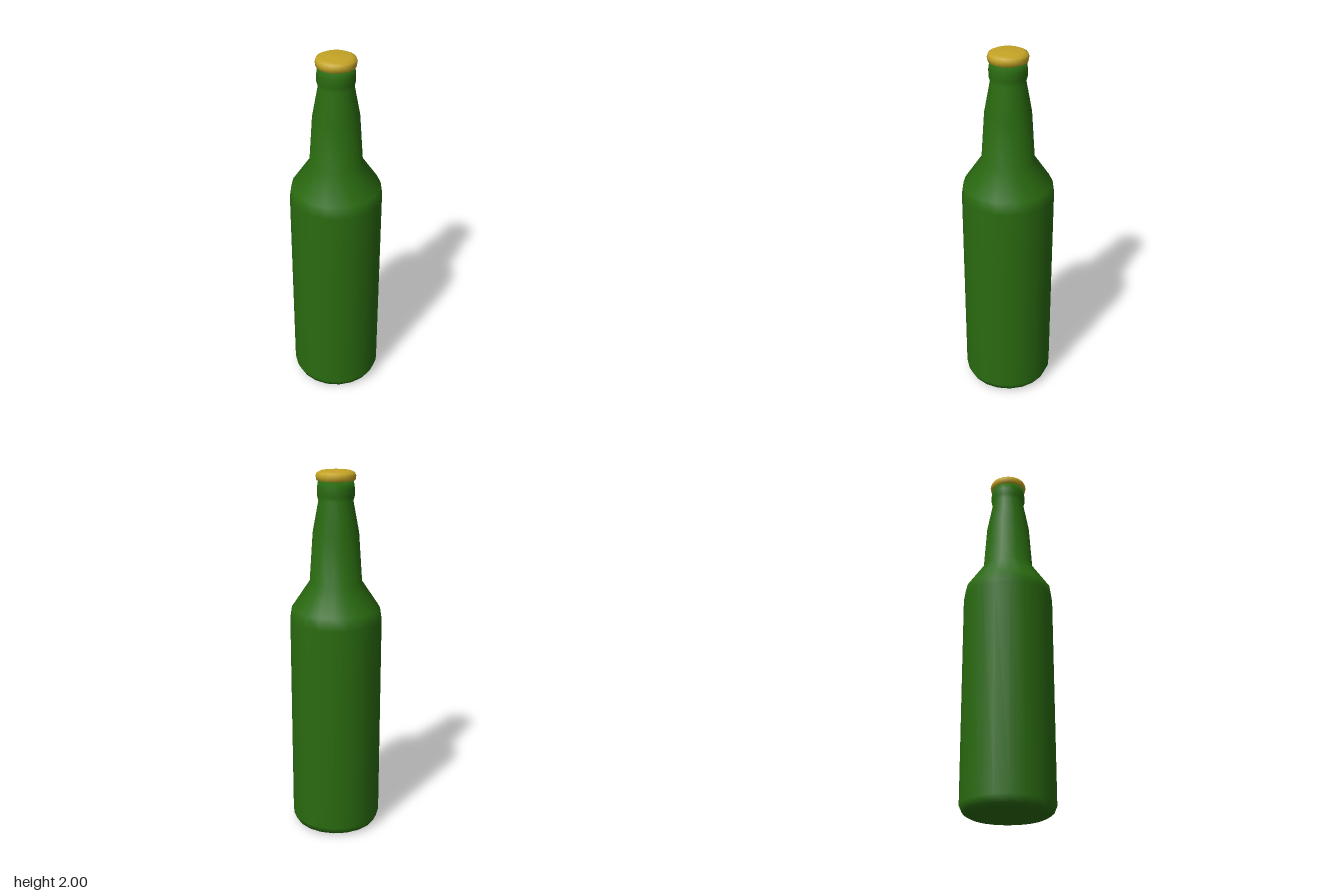
import * as THREE from 'three';

const SIDES = 20;

// Revolves a list of [radius, height] points, bottom to top
function turned(name, profile, color) {
  const points = profile.map(([r, y]) => new THREE.Vector2(r, y));
  const mesh = new THREE.Mesh(
    new THREE.LatheGeometry(points, SIDES),
    new THREE.MeshStandardMaterial({ color })
  );
  mesh.name = name;
  return mesh;
}

export function createModel() {
  const model = new THREE.Group();
  model.name = 'bottle';

  // Glass: rounded foot, straight body, sloped shoulder, tapering neck, lip ring
  model.add(turned('glassBody', [
    [0, 0.005], [0.17, 0.003], [0.2, 0], [0.232, 0.018], [0.248, 0.055],
    [0.248, 1.21], [0.238, 1.275], [0.14, 1.42], [0.122, 1.68],
    [0.091, 1.845], [0.098, 1.87], [0.098, 1.91], [0.092, 1.95], [0, 1.955],
  ], 0x2a6b10));

  // Crown cap with a rounded rim
  model.add(turned('cap', [
    [0, 1.948], [0.09, 1.948], [0.101, 1.95], [0.105, 1.972],
    [0.099, 1.988], [0.08, 1.997], [0, 2],
  ], 0xc4a426));

  return model;
}
